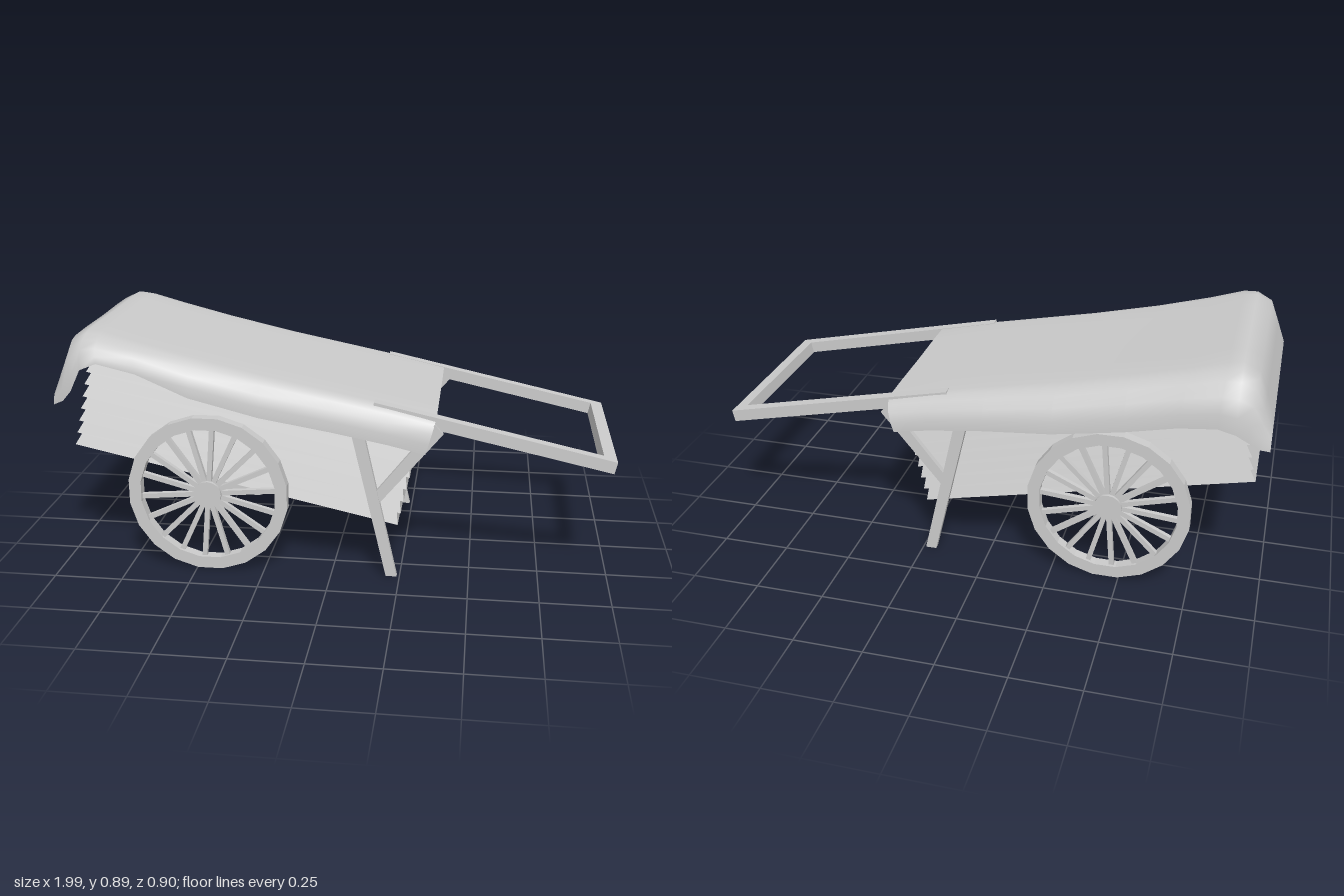
import * as THREE from 'three';

const mat = new THREE.MeshStandardMaterial({ color: 0xcccccc, flatShading: true });
const smooth = new THREE.MeshStandardMaterial({ color: 0xcccccc });
const cloth = new THREE.MeshStandardMaterial({ color: 0xcccccc, side: THREE.DoubleSide });
const TILT = -0.215;

function add(parent, name, geo, x = 0, y = 0, z = 0, material = mat) {
  const m = new THREE.Mesh(geo, material);
  m.name = name;
  m.position.set(x, y, z);
  parent.add(m);
  return m;
}

// Flat timber cut from an outline in the xy plane
function board(points, depth) {
  const s = new THREE.Shape(points.map(p => new THREE.Vector2(...p)));
  const g = new THREE.ExtrudeGeometry(s, { depth, bevelEnabled: false });
  return g.translate(0, 0, -depth / 2);
}

// Plank course: a box narrowing towards its top, so each overlaps the one above
function plankCourse(len, h, width, inset) {
  const g = new THREE.BoxGeometry(len, h, width);
  const p = g.attributes.position;
  for (let i = 0; i < p.count; i++) {
    if (p.getY(i) < 0) continue;
    p.setX(i, p.getX(i) - Math.sign(p.getX(i)) * inset);
    p.setZ(i, p.getZ(i) - Math.sign(p.getZ(i)) * inset);
  }
  g.computeVertexNormals();
  return g;
}

function makeWheel() {
  const wheel = new THREE.Group();
  wheel.name = 'wheel';
  const ring = (r) => Array.from({ length: 20 }, (_, i) => {
    const a = (i + 0.5) / 20 * Math.PI * 2;
    return new THREE.Vector2(r * Math.cos(a), r * Math.sin(a));
  });
  const rim = new THREE.Shape(ring(0.295));
  rim.holes.push(new THREE.Path(ring(0.25)));
  add(wheel, 'rim', new THREE.ExtrudeGeometry(rim, { depth: 0.04, bevelEnabled: false }).translate(0, 0, -0.02));
  add(wheel, 'hub', new THREE.CylinderGeometry(0.05, 0.05, 0.04, 16).rotateX(Math.PI / 2), 0, 0, 0, smooth);
  for (let i = 0; i < 18; i++) {
    const spoke = new THREE.BoxGeometry(0.22, 0.018, 0.018).translate(0.15, 0, 0);
    add(wheel, 'spoke', spoke).rotation.z = (i + 0.25) / 18 * Math.PI * 2;
  }
  return wheel;
}

// Draped cover lofted across stations along its length
function coverGeometry() {
  // x at ridge, top height, x at hem, left hem (z, y), right hem (z, y)
  const stations = [
    [0.37, 0.61, 0.335, 0.375, 0.485, 0.39, 0.50],
    [0.2, 0.648, 0.2, 0.385, 0.52, 0.4, 0.53],
    [0.0, 0.688, 0.0, 0.39, 0.56, 0.41, 0.56],
    [-0.25, 0.738, -0.25, 0.4, 0.605, 0.425, 0.59],
    [-0.5, 0.795, -0.5, 0.405, 0.67, 0.43, 0.635],
    [-0.7, 0.845, -0.68, 0.42, 0.755, 0.44, 0.68],
    [-0.82, 0.878, -0.81, 0.445, 0.795, 0.452, 0.70],
    [-0.87, 0.886, -0.87, 0.443, 0.77, 0.452, 0.685],
    [-0.925, 0.86, -0.91, 0.435, 0.69, 0.445, 0.66],
    [-0.955, 0.78, -0.945, 0.425, 0.65, 0.437, 0.635],
    [-0.985, 0.69, -0.985, 0.41, 0.63, 0.425, 0.625],
  ];
  // fraction of the drop and of the overhang beyond the rail
  const drape = [[1, 1], [0.7, 0.98], [0.4, 0.84], [0.18, 0.55], [0.06, 0.25], [0.01, -0.1]];
  const rail = 0.32;
  const pos = [], idx = [];
  for (const [x, top, hx, lz, ly, rz, ry] of stations) {
    const side = (s, hz, hy) => drape.map(([d, o]) =>
      [x + (hx - x) * d, top + (hy - top) * d, s * (rail + (hz - rail) * o)]);
    const row = [
      ...side(1, lz, ly),
      [x, top, 0.2], [x, top - 0.002, 0], [x, top, -0.2],
      ...side(-1, rz, ry).reverse(),
    ];
    row.forEach(p => pos.push(...p));
  }
  const n = drape.length * 2 + 3;
  for (let i = 0; i < stations.length - 1; i++) {
    for (let j = 0; j < n - 1; j++) {
      const a = i * n + j, b = a + n;
      idx.push(a, a + 1, b, a + 1, b + 1, b);
    }
  }
  const g = new THREE.BufferGeometry();
  g.setAttribute('position', new THREE.Float32BufferAttribute(pos, 3));
  g.setIndex(idx);
  g.computeVertexNormals();
  return g;
}

export function createModel() {
  const cart = new THREE.Group();
  cart.name = 'handcart';

  // Tilted body: lapped planks, handle rails and end bar
  const body = new THREE.Group();
  body.name = 'body';
  body.rotation.z = TILT;
  cart.add(body);
  const courses = 8, h = 0.0475;
  for (let i = 0; i < courses; i++) {
    add(body, 'plankCourse', plankCourse(1.215, h, 0.66, 0.016), -0.415, 0.24 + (i + 0.5) * h, 0);
  }
  for (const s of [1, -1]) {
    add(body, 'handleRail', new THREE.BoxGeometry(0.87, 0.044, 0.04), 0.441, 0.654, s * 0.32);
  }
  add(body, 'handleBar', new THREE.BoxGeometry(0.046, 0.044, 0.6), 0.853, 0.654, 0);

  // Legs, braces and wheels on both sides
  for (const s of [1, -1]) {
    add(cart, 'leg', board([[0.20, 0], [0.24, 0], [0.113, 0.56], [0.068, 0.56]], 0.022), 0, 0, s * 0.346);
    add(cart, 'legBrace', board([[0.15, 0.315], [0.165, 0.275], [0.395, 0.555], [0.365, 0.59]], 0.02), 0, 0, s * 0.343);
    const wheel = makeWheel();
    wheel.position.set(-0.45, 0.295, s * 0.355);
    cart.add(wheel);
    // tapered collar inside each wheel
    const collar = new THREE.CylinderGeometry(0.045, 0.025, 0.05, 16).rotateX(s * Math.PI / 2);
    add(cart, 'axleCollar', collar, -0.45, 0.295, s * 0.312, smooth);
  }
  add(cart, 'axle', new THREE.CylinderGeometry(0.025, 0.025, 0.68, 16).rotateX(Math.PI / 2), -0.45, 0.295, 0, smooth);

  add(cart, 'cover', coverGeometry(), 0, 0, 0, cloth);
  return cart;
}
